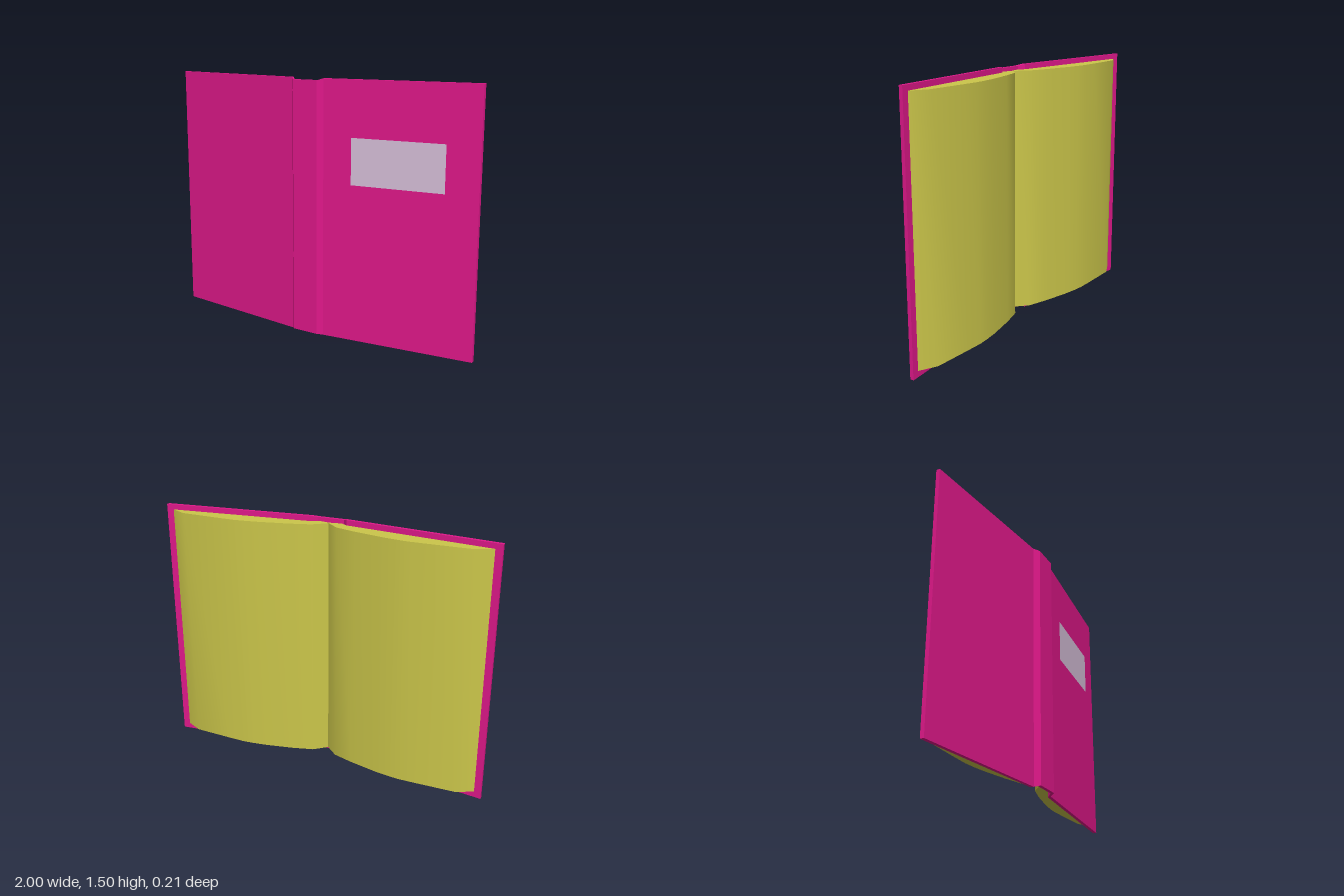
import * as THREE from 'three';
import { toCreasedNormals } from 'three/addons/utils/BufferGeometryUtils.js';

const material = (color, side = THREE.FrontSide) =>
  new THREE.MeshStandardMaterial({ color, side });

// Upright prism: outline given as [x, z] points, standing from y0 to y1
function prism(points, y0, y1) {
  const shape = new THREE.Shape(points.map(([x, z]) => new THREE.Vector2(x, -z)));
  const geo = new THREE.ExtrudeGeometry(shape, { depth: y1 - y0, bevelEnabled: false });
  return geo.rotateX(-Math.PI / 2).translate(0, y0, 0);
}

// Reflects a half profile, running outward from the centre, to the other side
const mirrored = (half) =>
  half.filter(([x]) => x > 0).reverse().map(([x, z]) => [-x, z]);

export function createModel() {
  const book = new THREE.Group();
  book.name = 'openBook';

  // Cover: two boards joined by hinges to a flat spine
  const outer = [[0.08, 0.104], [0.105, 0.073], [1, -0.028]];
  const inner = [[0.08, 0.083], [0.11, 0.052], [1, -0.05]];
  const coverGeo = prism([
    ...mirrored(outer), ...outer,
    ...[...inner].reverse(), ...[...mirrored(inner)].reverse(),
  ], 0, 1.5);
  // the spine is slightly shorter than the boards
  const pos = coverGeo.attributes.position;
  for (let i = 0; i < pos.count; i++) {
    if (Math.abs(pos.getX(i)) < 0.09) pos.setY(i, pos.getY(i) > 0.75 ? 1.49 : 0.01);
  }
  const cover = new THREE.Mesh(toCreasedNormals(coverGeo, 0.2), material(0xe0188a));
  cover.name = 'cover';
  book.add(cover);

  // Pages: two curved stacks meeting in the central groove
  const top = [
    [0, 0.055], [0.075, -0.01], [0.2, -0.047], [0.37, -0.085], [0.45, -0.097],
    [0.52, -0.104], [0.62, -0.102], [0.86, -0.094], [0.96, -0.045],
  ];
  const bottom = [[0, 0.066], [0.07, 0.078], [0.11, 0.052]];
  const pagesGeo = prism([
    ...mirrored(top), ...top,
    ...[...bottom].reverse(), ...[...mirrored(bottom)].reverse(),
  ], 0.035, 1.47);
  const pages = new THREE.Mesh(toCreasedNormals(pagesGeo, 0.47), material(0xcbc64a));
  pages.name = 'pages';
  book.add(pages);

  // Title label lying just proud of the front board
  const label = new THREE.Mesh(
    new THREE.PlaneGeometry(0.543, 0.265),
    material(0xd8c0da, THREE.DoubleSide),
  );
  label.name = 'label';
  label.position.set(0.55, 1.05, 0.034);
  label.rotation.y = Math.atan(0.06 / 0.54);
  book.add(label);

  return book;
}
